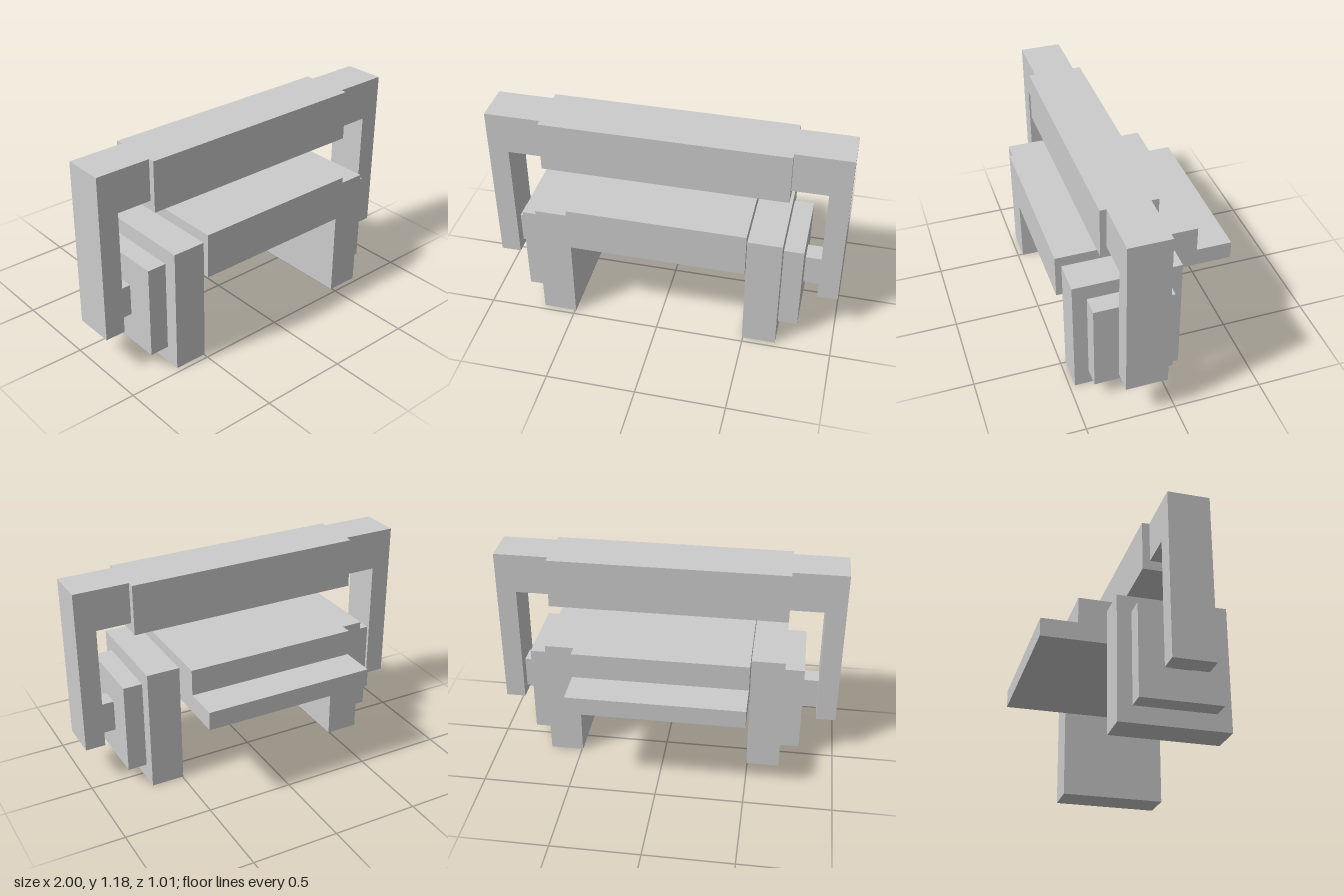
import * as THREE from 'three';

const material = new THREE.MeshStandardMaterial({ color: 0xcccccc, flatShading: true });

// Box given by its lower and upper limits on each axis
function box(name, [x0, x1], [y0, y1], [z0, z1]) {
  const mesh = new THREE.Mesh(new THREE.BoxGeometry(x1 - x0, y1 - y0, z1 - z0), material);
  mesh.position.set((x0 + x1) / 2, (y0 + y1) / 2, (z0 + z1) / 2);
  mesh.name = name;
  return mesh;
}

// Straight-sided outline extruded from z0 to z1
function prism(points, z0, z1) {
  const shape = new THREE.Shape(points.map(([a, b]) => new THREE.Vector2(a, b)));
  const geometry = new THREE.ExtrudeGeometry(shape, { depth: z1 - z0, bevelEnabled: false });
  return geometry.translate(0, 0, z0);
}

export function createModel() {
  const model = new THREE.Group();
  model.name = 'bulkyFrame';

  // Central slab with a lower step at the back; profile is (z, y), turned to run along x
  const profile = [[-0.505, 0.52], [-0.505, 0.625], [-0.3, 0.625], [-0.3, 0.775], [0.505, 0.775], [0.505, 0.52]];
  const slabGeometry = prism(profile.map(([z, y]) => [-z, y]), -0.495, 0.495).rotateY(Math.PI / 2);
  const slab = new THREE.Mesh(slabGeometry, material);
  slab.name = 'steppedSlab';
  model.add(slab);

  // Overhead beam
  model.add(box('crossBeam', [-0.685, 0.685], [0.895, 1.185], [0.005, 0.315]));

  for (const side of [1, -1]) {
    const label = side > 0 ? 'left' : 'right';
    const span = (a, b) => (side > 0 ? [a, b] : [-b, -a]);

    // Leg, outer plate and pivot block, stepping outwards
    model.add(box(label + 'Leg', span(0.495, 0.685), [0, 0.715], [-0.14, 0.47]));
    model.add(box(label + 'SidePlate', span(0.685, 0.795), [0.095, 0.625], [-0.06, 0.39]));
    model.add(box(label + 'PivotBlock', span(0.795, 0.885), [0.27, 0.455], [0.11, 0.22]));

    // L-shaped arm joining the pivot to the beam
    const outline = [[0.685, 1.185], [0.685, 0.95], [0.885, 0.95], [0.885, 0.228], [1, 0.228], [1, 1.185]];
    const arm = new THREE.Mesh(prism(outline.map(([x, y]) => [side * x, y]), 0.047, 0.28), material);
    arm.name = label + 'Arm';
    model.add(arm);
  }
  return model;
}
